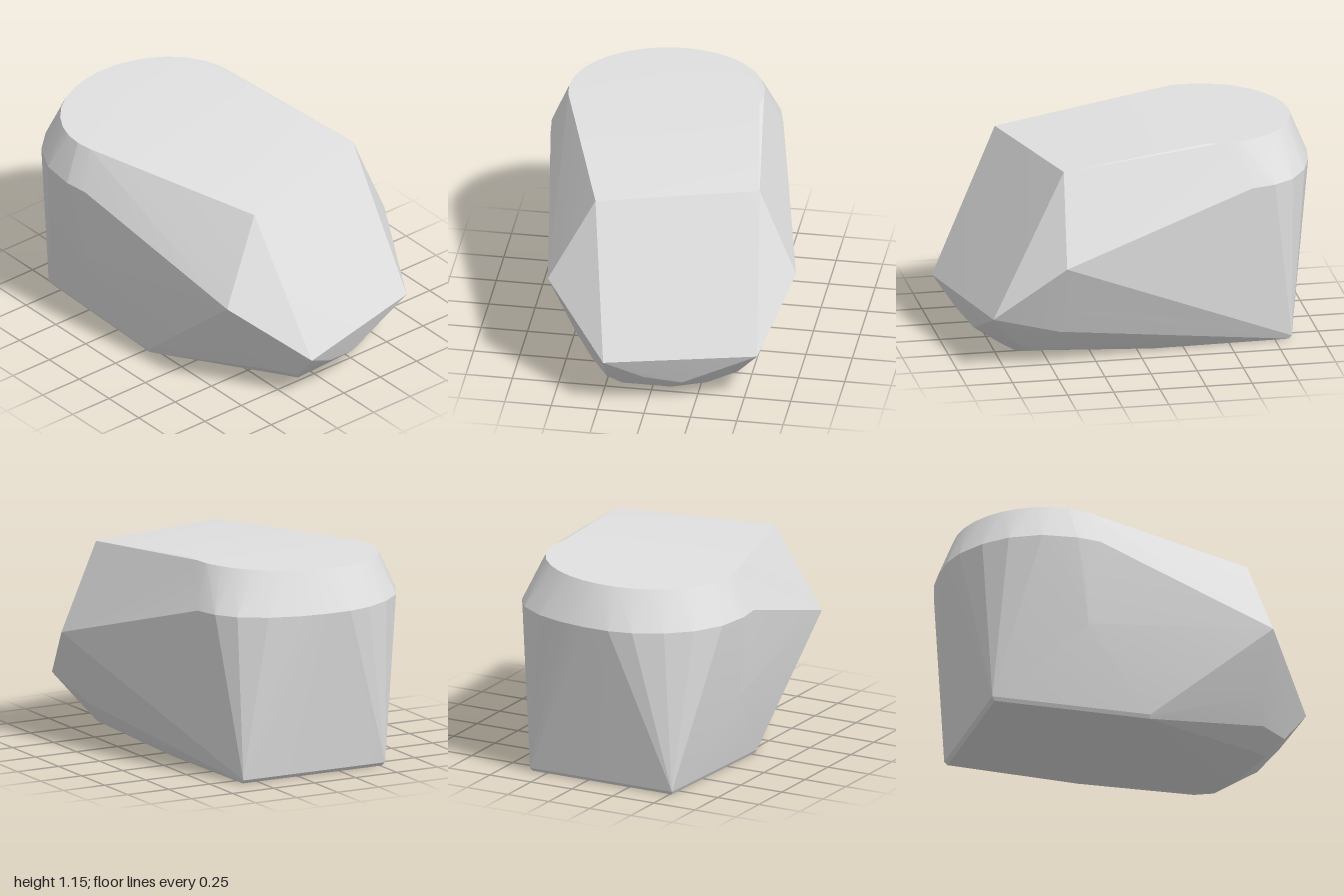
import * as THREE from 'three';
import { ConvexGeometry } from 'three/addons/geometries/ConvexGeometry.js';
import { toCreasedNormals } from 'three/addons/utils/BufferGeometryUtils.js';

export function createModel() {
  const group = new THREE.Group();
  const stone = new THREE.MeshStandardMaterial({ color: 0xe1e1e1 });
  stone.name = 'pale stone grey';

  const points = [];
  const add = (x, y, z) => points.push(new THREE.Vector3(x, y, z));

  // Flat, slightly tilted oval top
  for (let i = 0; i < 32; i++) {
    const a = (i / 32) * Math.PI * 2;
    const x = -0.45 + 0.46 * Math.cos(a), z = 0.115 + 0.525 * Math.sin(a);
    if (x < -0.3) add(x, 1.143 - 0.028 * (z + 0.1), z);
  }

  // Wider shoulder below the top, around the rounded end
  [
    [-0.6, -0.49], [-0.73, -0.455], [-0.84, -0.38], [-0.93, -0.24], [-0.98, -0.08],
    [-1, 0.07], [-1, 0.22], [-0.97, 0.35], [-0.89, 0.5], [-0.78, 0.62],
    [-0.62, 0.705], [-0.43, 0.73], [-0.3, 0.715],
  ].forEach(([x, z]) => add(x, 0.915, z));

  // Big corners of the angular end
  add(0.43, 1.09, -0.53);
  add(0.64, 1.07, 0.32);
  add(0.82, 0.3, -0.58);
  add(1, 0.29, 0.22);
  add(0.71, 0.61, 0.565);
  add(0.45, 0.61, -0.73);

  // Shallow bulge on the front
  add(-0.37, 0.7, 0.7);
  add(-0.35, 0.45, 0.665);

  // Base corners, each with a tiny bevel
  [[-0.84, 0.52], [0.03, 0.55], [-0.84, -0.345]].forEach(([x, z]) => {
    add(x, 0.02, z);
    add(x * 0.98, 0, z * 0.98);
  });
  add(-0.09, 0, -0.355);

  // Curved rim under the angular end, from the front round to the back
  [
    [0.68, 0.28, 0.42], [0.73, 0.15, 0.32], [0.88, 0.14, 0.22], [0.8, 0.06, 0.15],
    [0.7, 0, -0.1], [0.64, 0.01, -0.28], [0.58, 0.065, -0.44], [0.51, 0.13, -0.5],
    [0.46, 0.2, -0.555], [0.39, 0.32, -0.6],
  ].forEach((p) => add(...p));

  // Low dome between the rim and the lower end corners
  add(0.72, 0.14, -0.46);
  add(0.85, 0.12, -0.18);
  add(0.91, 0.17, 0.02);

  const rock = new THREE.Mesh(toCreasedNormals(new ConvexGeometry(points), 0.2), stone);
  rock.name = 'rock';
  group.add(rock);
  return group;
}
